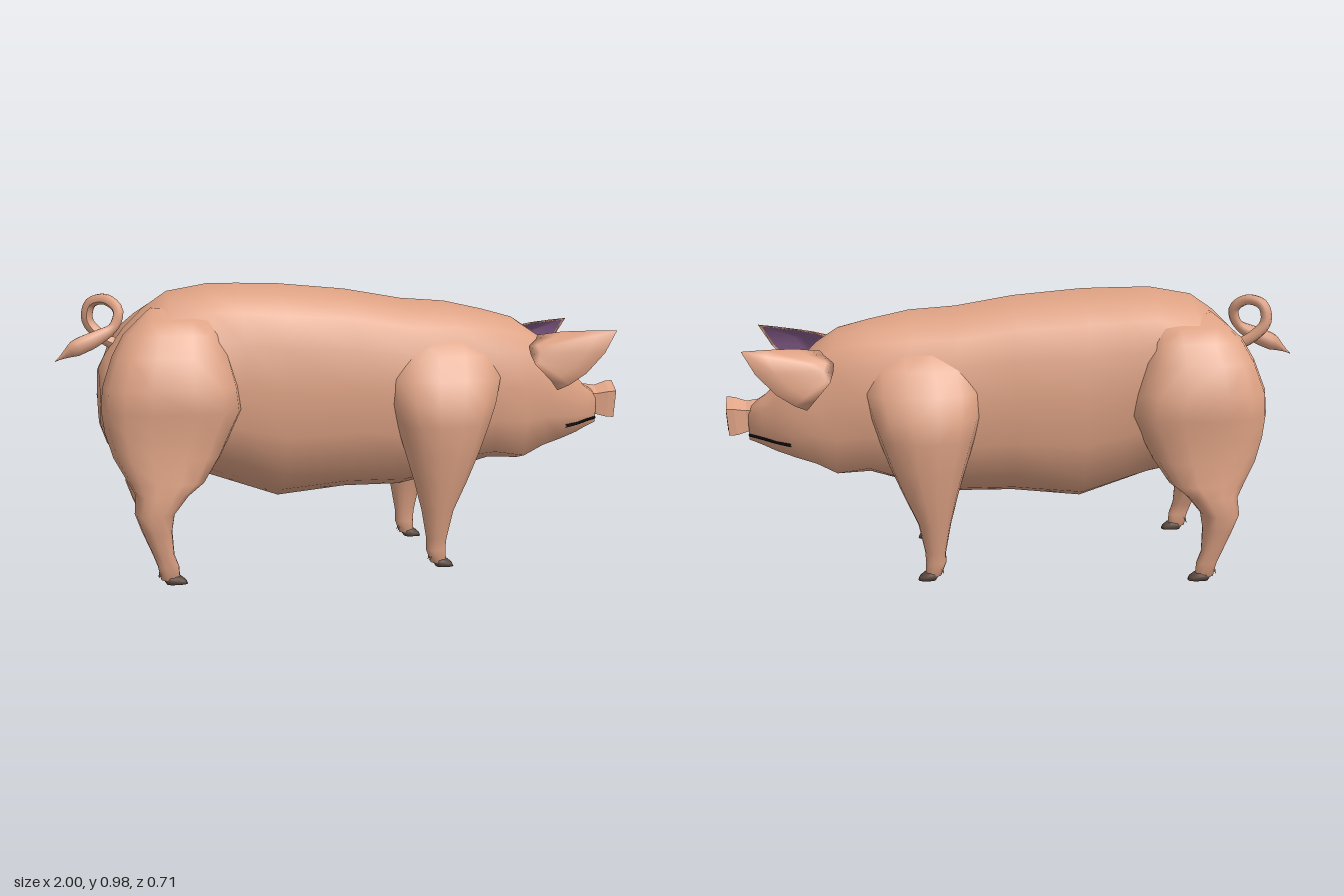
import * as THREE from 'three';

const mat = (color, side = THREE.FrontSide) => new THREE.MeshStandardMaterial({ color, side, roughness: 0.9 });
const skin = mat(0xdea284);
const earSkin = mat(0xdea284, THREE.DoubleSide);
const dark = mat(0x0a0a0a, THREE.DoubleSide);
const hoofMat = mat(0x5a473d);
const innerEarMat = mat(0x8a6090, THREE.DoubleSide);
const V = (x, y, z) => new THREE.Vector3(x, y, z);

// Skin over a list of equal-length closed rings, capped as asked, always facing outwards
function loft(rings, capStart = true, capEnd = true) {
  const n = rings[0].length, pts = rings.flat(), idx = [];
  for (let i = 0; i < rings.length - 1; i++)
    for (let j = 0; j < n; j++) {
      const k = (j + 1) % n, a = i * n + j, b = i * n + k, c = a + n, d = b + n;
      idx.push(a, b, d, a, d, c);
    }
  const cap = (row, flip) => {
    const mid = rings[row].reduce((s, p) => s.add(p), V(0, 0, 0)).divideScalar(n);
    const m = pts.push(mid) - 1;
    for (let j = 0; j < n; j++) {
      const a = row * n + j, b = row * n + (j + 1) % n;
      idx.push(m, flip ? a : b, flip ? b : a);
    }
  };
  if (capStart) cap(0, false);
  if (capEnd) cap(rings.length - 1, true);
  let volume = 0;
  for (let i = 0; i < idx.length; i += 3)
    volume += pts[idx[i]].dot(V(0, 0, 0).crossVectors(pts[idx[i + 1]], pts[idx[i + 2]]));
  if (volume < 0) idx.reverse();
  const g = new THREE.BufferGeometry().setFromPoints(pts);
  g.setIndex(idx);
  g.computeVertexNormals();
  return g;
}

function add(parent, name, geometry, material = skin) {
  const mesh = new THREE.Mesh(geometry, material);
  mesh.name = name;
  parent.add(mesh);
  return mesh;
}

// Horizontal rounded ring from [y, x0, x1, z0, z1]; power below 1 is boxier
function legRing([y, x0, x1, z0, z1], side, power) {
  const bend = (v) => Math.sign(v) * Math.abs(v) ** power;
  return Array.from({ length: 14 }, (_, i) => {
    const a = (i / 14) * Math.PI * 2;
    return V((x0 + x1) / 2 + bend(Math.cos(a)) * (x1 - x0) / 2, y,
      side * ((z0 + z1) / 2 + bend(Math.sin(a)) * (z1 - z0) / 2));
  });
}

// Half outlines from spine to underside: [width fraction, height fraction]
const TORSO = [[0, 1], [0.42, 0.955], [0.78, 0.87], [0.96, 0.73], [1, 0.53], [0.95, 0.32], [0.75, 0.14], [0.4, 0.05], [0, 0]];
const HEAD = [[0, 1], [0.4, 0.975], [0.74, 0.91], [0.94, 0.77], [1, 0.53], [0.98, 0.3], [0.84, 0.05], [0.45, 0.01], [0, 0]];

// Trunk and head stations: [x, bottom, top, half width]
const TRUNK = [
  [-0.855, 0.5, 0.69, 0.15], [-0.83, 0.43, 0.74, 0.22], [-0.77, 0.37, 0.825, 0.265], [-0.7, 0.35, 0.895, 0.275],
  [-0.62, 0.34, 0.95, 0.275], [-0.48, 0.31, 0.975, 0.258], [-0.38, 0.275, 0.975, 0.245], [-0.24, 0.226, 0.972, 0.24],
  [0, 0.25, 0.95, 0.235], [0.2, 0.25, 0.915, 0.235], [0.36, 0.285, 0.903, 0.238], [0.5, 0.34, 0.872, 0.235],
  [0.61, 0.343, 0.842, 0.212], [0.68, 0.38, 0.795, 0.2], [0.75, 0.405, 0.725, 0.188], [0.82, 0.425, 0.65, 0.143],
  [0.87, 0.44, 0.605, 0.096], [0.92, 0.452, 0.572, 0.05],
];

function trunkRing([x, lo, hi, w]) {
  const t = THREE.MathUtils.smoothstep(x, 0.35, 0.62);
  const half = TORSO.map(([u, v], i) => [u + (HEAD[i][0] - u) * t, v + (HEAD[i][1] - v) * t]);
  const mirrored = half.slice(1, -1).reverse().map(([u, v]) => [-u, v]);
  return [...half, ...mirrored].map(([u, v]) => V(x, lo + (hi - lo) * v, u * w));
}

const HIND = [
  [0.015, -0.675, -0.612, 0.272, 0.31], [0.06, -0.685, -0.615, 0.27, 0.315], [0.1, -0.7, -0.63, 0.265, 0.325],
  [0.18, -0.735, -0.635, 0.23, 0.34], [0.24, -0.757, -0.625, 0.21, 0.357], [0.3, -0.752, -0.575, 0.195, 0.355],
  [0.34, -0.775, -0.52, 0.17, 0.35], [0.42, -0.82, -0.465, 0.13, 0.342], [0.5, -0.845, -0.425, 0.1, 0.342],
  [0.57, -0.855, -0.39, 0.08, 0.348], [0.65, -0.85, -0.4, 0.06, 0.355], [0.75, -0.815, -0.425, 0.04, 0.312],
  [0.82, -0.775, -0.44, 0.03, 0.275], [0.865, -0.725, -0.46, 0.02, 0.232], [0.9, -0.68, -0.48, 0.02, 0.14],
];
const FORE = [
  [0.015, 0.26, 0.315, 0.214, 0.255], [0.06, 0.243, 0.312, 0.21, 0.258], [0.1, 0.243, 0.315, 0.205, 0.265],
  [0.2, 0.225, 0.337, 0.185, 0.29], [0.3, 0.2, 0.385, 0.15, 0.312], [0.4, 0.17, 0.43, 0.12, 0.328],
  [0.5, 0.14, 0.468, 0.1, 0.34], [0.57, 0.12, 0.495, 0.08, 0.336], [0.65, 0.115, 0.52, 0.06, 0.302],
  [0.73, 0.13, 0.52, 0.04, 0.252], [0.8, 0.16, 0.5, 0.02, 0.19],
];

function makeLeg(name, rows, side, power) {
  const leg = new THREE.Group();
  leg.name = name;
  add(leg, 'limb', loft(rows.map((r) => legRing(r, side, power))));
  // Low hoof reaching forward, with dewclaws behind
  const [, x0, x1, z0, z1] = rows[0];
  add(leg, 'hoof', loft([
    legRing([0, x0 + 0.018, x1 + 0.025, z0 - 0.003, z1 + 0.003], side, 0.7),
    legRing([0.012, x0 + 0.01, x1 + 0.02, z0 - 0.003, z1 + 0.003], side, 0.7),
    legRing([0.026, x0 + 0.004, x1 + 0.004, z0, z1], side, 0.8)]), hoofMat);
  for (const t of [0.25, 0.75]) {
    const claw = add(leg, 'dewclaw', new THREE.ConeGeometry(0.011, 0.045, 6));
    claw.position.set(x0, 0.042, side * (z0 + (z1 - z0) * t));
    claw.rotation.z = Math.PI - 0.4;
  }
  return leg;
}

function makeEar(side) {
  const ear = new THREE.Group();
  ear.name = side > 0 ? 'rightEar' : 'leftEar';
  const P = (x, y, z) => V(x, y, z * side);
  const rim = [P(0.91, 0.81, 0.262), P(0.83, 0.808, 0.222), P(0.74, 0.803, 0.182), P(0.66, 0.79, 0.15), P(0.67, 0.7, 0.2),
    P(0.7, 0.607, 0.255), P(0.74, 0.625, 0.265), P(0.8, 0.665, 0.27), P(0.865, 0.735, 0.272)];
  const apex = P(0.585, 0.735, 0.215), centre = P(0.76, 0.74, 0.228), pit = P(0.7, 0.745, 0.232);
  const toward = (target, t) => rim.map((p) => p.clone().lerp(target, t));
  const bulge = toward(apex, 0.25).map((p) => p.add(P(0, 0.004, 0.024)));
  const back = toward(apex, 0.68).map((p) => p.add(P(0, 0.004, 0.016)));
  const lip = toward(centre, 0.1);
  add(ear, 'earShell', loft([back, bulge, rim, lip], true, false), earSkin);
  add(ear, 'earInside', loft([lip, lip.map((p) => p.clone().lerp(pit, 0.6))], false, true), innerEarMat);
  return ear;
}

function makeTail() {
  const path = new THREE.CatmullRomCurve3([V(-0.77, 0.76, 0), V(-0.83, 0.79, -0.02), V(-0.885, 0.85, -0.03),
    V(-0.875, 0.91, -0.02), V(-0.825, 0.925, 0.01), V(-0.785, 0.89, 0.035), V(-0.8, 0.835, 0.045),
    V(-0.86, 0.797, 0.05), V(-0.93, 0.765, 0.055), V(-0.998, 0.722, 0.055)]);
  const segs = 40, g = new THREE.TubeGeometry(path, segs, 1, 8), pos = g.attributes.position, p = V(0, 0, 0);
  // Slim curl swelling into a leaf-shaped tuft
  const radius = (t) => (t < 0.65 ? 0.021 - 0.005 * t : 0.0178 + 0.013 * Math.sin((t - 0.65) / 0.35 * Math.PI))
    * (t > 0.88 ? Math.max(0.05, (1 - t) / 0.12) : 1);
  for (let i = 0; i < pos.count; i++) {
    const t = Math.floor(i / 9) / segs, c = path.getPointAt(t);
    p.fromBufferAttribute(pos, i).sub(c).multiplyScalar(radius(t)).add(c);
    pos.setXYZ(i, p.x, p.y, p.z);
  }
  g.computeVertexNormals();
  return g;
}

export function createModel() {
  const pig = new THREE.Group();
  pig.name = 'pig';
  add(pig, 'body', loft(TRUNK.map(trunkRing)));
  add(pig, 'tail', makeTail());

  // Flared five-sided snout
  const snoutRing = (x, s) => [[-0.054, 0.475], [0.054, 0.475], [0.057, 0.57], [0, 0.603], [-0.057, 0.57]]
    .map(([z, y]) => V(x + (y - 0.53) * 0.08, 0.53 + (y - 0.53) * s, z * s));
  const snout = loft([snoutRing(0.87, 0.9), snoutRing(0.925, 0.78), snoutRing(0.965, 0.97), snoutRing(0.992, 1)]).toNonIndexed();
  snout.computeVertexNormals();
  add(pig, 'snout', snout);

  for (const side of [1, -1]) {
    const label = side > 0 ? 'right' : 'left';
    pig.add(makeLeg(label + 'HindLeg', HIND, side, 0.78));
    pig.add(makeLeg(label + 'ForeLeg', FORE, side, 0.95));
    pig.add(makeEar(side));

    // Nostril slit
    const nostril = new THREE.Shape([[0.014, 0.49], [0.039, 0.49], [0.039, 0.552], [0.018, 0.572]]
      .map(([z, y]) => new THREE.Vector2(-z * side, y - 0.53)));
    const slit = add(pig, label + 'Nostril', new THREE.ShapeGeometry(nostril), dark);
    slit.position.set(0.9955, 0.53, 0);
    slit.rotation.set(0, Math.PI / 2, -0.08, 'ZYX');

    // Narrow slanted eye
    const eye = add(pig, label + 'Eye', new THREE.SphereGeometry(0.018, 10, 8), dark);
    eye.scale.set(1.2, 0.55, 0.6);
    eye.position.set(0.768, 0.642, side * 0.168);
    eye.rotation.set(0, side * 0.6, -0.25);

    // Mouth line along the cheek
    const lips = new THREE.CatmullRomCurve3([V(0.765, 0.465, side * 0.165), V(0.82, 0.469, side * 0.13),
      V(0.87, 0.473, side * 0.088), V(0.918, 0.475, side * 0.046)]);
    add(pig, label + 'Mouth', new THREE.TubeGeometry(lips, 12, 0.006, 5), dark);
  }
  return pig;
}
